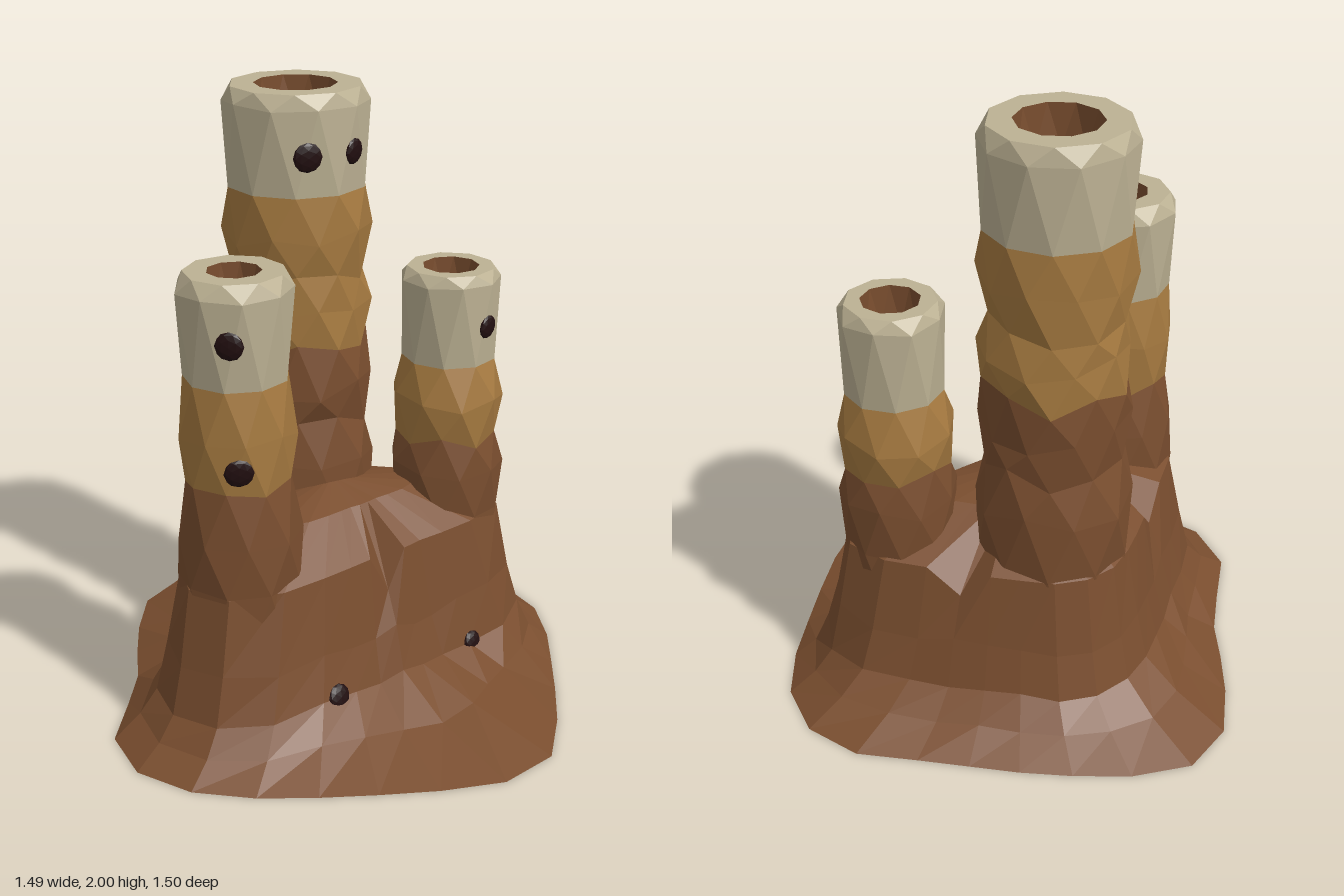
import * as THREE from 'three';

const mat = (name, color) => {
  const m = new THREE.MeshStandardMaterial({ color, flatShading: true });
  m.name = name;
  return m;
};

// Small repeatable noise in -1..1
const noise = (a, b, c) => {
  const s = Math.sin(a * 127.1 + b * 311.7 + c * 74.7 + 3.1) * 43758.5453;
  return 2 * (s - Math.floor(s)) - 1;
};

// Faceted skin over a stack of closed rings, each an array of [x, y, z]
function loft(rings) {
  const pos = [];
  for (let k = 0; k < rings.length - 1; k++) {
    const lo = rings[k], up = rings[k + 1], n = lo.length;
    for (let i = 0; i < n; i++) {
      const j = (i + 1) % n;
      pos.push(...lo[i], ...up[i], ...lo[j], ...up[i], ...up[j], ...lo[j]);
    }
  }
  const geo = new THREE.BufferGeometry();
  geo.setAttribute('position', new THREE.Float32BufferAttribute(pos, 3));
  geo.computeVertexNormals();
  return geo;
}

// Chimneys: wall profile is [radius, height, roughness]; base is the radius at the mound top
const CHIMNEYS = [
  {
    name: 'tallChimney', x: -0.15, z: -0.235, base: 0.25, sides: 10, hole: 0.135, top: 2,
    brown: [[0.24, 0.35, 0], [0.25, 0.55, 0.2], [0.255, 0.76, 0.8], [0.225, 0.9, 1], [0.235, 1.03, 1], [0.225, 1.16, 1]],
    ochre: [[0.235, 1.28, 1], [0.22, 1.4, 0.8], [0.24, 1.53, 0.8], [0.23, 1.68, 0]],
    cream: [[0.238, 1.95, 0.2], [0.215, 2, 0], [0.135, 2, 0]],
  },
  {
    name: 'frontChimney', x: -0.33, z: 0.305, base: 0.2, sides: 9, hole: 0.085, top: 1.55,
    brown: [[0.19, 0.35, 0], [0.2, 0.55, 0.2], [0.2, 0.72, 0.6], [0.172, 0.88, 0.8]],
    ochre: [[0.188, 1.05, 0.8], [0.165, 1.22, 0]],
    cream: [[0.182, 1.5, 0.2], [0.155, 1.55, 0], [0.085, 1.55, 0]],
  },
  {
    name: 'sideChimney', x: 0.355, z: -0.225, base: 0.18, sides: 9, hole: 0.095, top: 1.4,
    brown: [[0.17, 0.35, 0], [0.18, 0.55, 0.2], [0.19, 0.72, 0.6], [0.17, 0.83, 0.8]],
    ochre: [[0.187, 0.96, 0.8], [0.158, 1.09, 0]],
    cream: [[0.168, 1.36, 0.2], [0.145, 1.4, 0], [0.095, 1.4, 0]],
  },
];

// Plan of the mound's skirt, in x and z
const SKIRT = [
  [0.74, -0.22], [0.71, 0.28], [0.65, 0.55], [0.55, 0.65], [0.41, 0.7], [0.14, 0.73], [-0.1, 0.745],
  [-0.36, 0.745], [-0.62, 0.67], [-0.75, 0.43], [-0.71, 0.05], [-0.745, -0.25], [-0.735, -0.5],
  [-0.61, -0.7], [-0.37, -0.75], [-0.1, -0.75], [0.25, -0.72], [0.54, -0.7], [0.71, -0.5],
];
const CX = -0.04, CZ = -0.05, N = 27;

// Distance from the mound centre to the skirt edge along an angle
function skirtRadius(a) {
  const c = Math.cos(a), s = Math.sin(a);
  let best = 0.7;
  SKIRT.forEach(([x0, z0], i) => {
    const [x1, z1] = SKIRT[(i + 1) % SKIRT.length];
    const px = x0 - CX, pz = z0 - CZ, ex = x1 - x0, ez = z1 - z0;
    const den = c * ez - s * ex;
    const t = (px * ez - pz * ex) / den, u = (px * s - pz * c) / den;
    if (t > 0 && u >= 0 && u <= 1) best = t;
  });
  return best;
}

// Distance to the taut outline that wraps all chimney bases, grown by an offset
function wallRadius(a, grow) {
  let best = 9;
  for (let d = -80; d <= 80; d += 4) {
    const f = a + d * Math.PI / 180, c = Math.cos(f), s = Math.sin(f);
    const reach = Math.max(...CHIMNEYS.map((t) => (t.x - CX) * c + (t.z - CZ) * s + t.base + grow));
    best = Math.min(best, reach / Math.cos(f - a));
  }
  return best;
}

function moundGeometry() {
  const notchDepth = { 4: 0.42, 13: 0.46, 22: 0.46 }; // low points between chimneys
  const ring = (radius, height) => Array.from({ length: N }, (_, i) => {
    const a = i / N * Math.PI * 2, r = radius(a, i);
    return [CX + r * Math.cos(a), height(i), CZ + r * Math.sin(a)];
  });
  const foot = (a) => wallRadius(a, 0.085);
  return loft([
    ring(() => 0, () => 0),
    ring(skirtRadius, () => 0),
    ring((a) => skirtRadius(a) * 0.4 + foot(a) * 0.6, (i) => 0.065 + 0.01 * noise(i, 1, 0)),
    ring(foot, (i) => 0.15 + 0.015 * noise(i, 2, 0)),
    ring((a) => wallRadius(a, 0.045), (i) => 0.3 + 0.02 * noise(i, 3, 0)),
    ring((a) => wallRadius(a, 0), (i) => notchDepth[i] ?? 0.55),
    ring((a) => wallRadius(a, 0) * 0.5, () => 0.67),
    ring(() => 0, () => 0.72),
  ]);
}

function chimney(spec, seed, mats) {
  const group = new THREE.Group();
  group.name = spec.name;
  let turn = 0;
  // Each ring is turned half a step from the last, giving triangular facets
  const makeRing = ([r, y, rough]) => {
    const shift = 0.5 * turn++;
    return Array.from({ length: spec.sides }, (_, i) => {
      const a = (i + shift) / spec.sides * Math.PI * 2;
      const q = r * (1 + 0.05 * rough * noise(i, turn, seed));
      return [spec.x + q * Math.cos(a), y + 0.035 * rough * noise(i, turn, seed + 5), spec.z + q * Math.sin(a)];
    });
  };
  const bore = [[spec.hole * 0.95, spec.top - 0.14, 0], [0, spec.top - 0.22, 0]];
  let last = null;
  [['lowerWall', spec.brown, mats.brown], ['middleWall', spec.ochre, mats.ochre],
    ['rim', spec.cream, mats.cream], ['bore', bore, mats.brown]].forEach(([name, profile, material]) => {
    const rings = profile.map(makeRing);
    if (last) rings.unshift(last);
    last = rings[rings.length - 1];
    const mesh = new THREE.Mesh(loft(rings), material);
    mesh.name = name;
    group.add(mesh);
  });
  return group;
}

export function createModel() {
  const mats = {
    brown: mat('brown rock', 0x7a4e2f),
    ochre: mat('ochre rock', 0xa67a40),
    cream: mat('pale crust', 0xbcb193),
    dark: mat('dark pit', 0x220f10),
  };
  const model = new THREE.Group();
  model.name = 'chimneyRock';

  const mound = new THREE.Mesh(moundGeometry(), mats.brown);
  mound.name = 'mound';
  model.add(mound);
  const chimneys = CHIMNEYS.map((spec, i) => chimney(spec, i + 1, mats));
  model.add(...chimneys);
  model.updateMatrixWorld(true);

  // Dark pits: [target, x, y, z, radius], dropped onto the surface from outside
  const pits = [
    [chimneys[0], -0.11, 1.81, 0, 0.048], [chimneys[0], 0.03, 1.81, -0.1, 0.042],
    [chimneys[1], -0.34, 1.37, 0.48, 0.045], [chimneys[1], -0.32, 0.97, 0.48, 0.047],
    [chimneys[2], 0.47, 1.22, -0.12, 0.04],
    [mound, -0.02, 0.16, 0.45, 0.042], [mound, 0.47, 0.145, 0.06, 0.036],
  ];
  const pitGeo = new THREE.IcosahedronGeometry(1, 1);
  pits.forEach(([target, x, y, z, r], i) => {
    const spec = CHIMNEYS[chimneys.indexOf(target)] ?? { x: CX, z: CZ };
    const out = new THREE.Vector3(x - spec.x, 0, z - spec.z).normalize();
    const point = new THREE.Vector3(x, y, z);
    const ray = new THREE.Raycaster(point.clone().addScaledVector(out, 0.5), out.clone().negate());
    const hit = ray.intersectObject(target, true)[0];
    const pit = new THREE.Mesh(pitGeo, mats.dark);
    pit.name = `pit${i + 1}`;
    pit.position.copy(hit ? hit.point : point);
    pit.quaternion.setFromUnitVectors(new THREE.Vector3(0, 0, 1), hit ? hit.face.normal : out);
    pit.scale.set(r, r, 0.014);
    model.add(pit);
  });
  return model;
}
